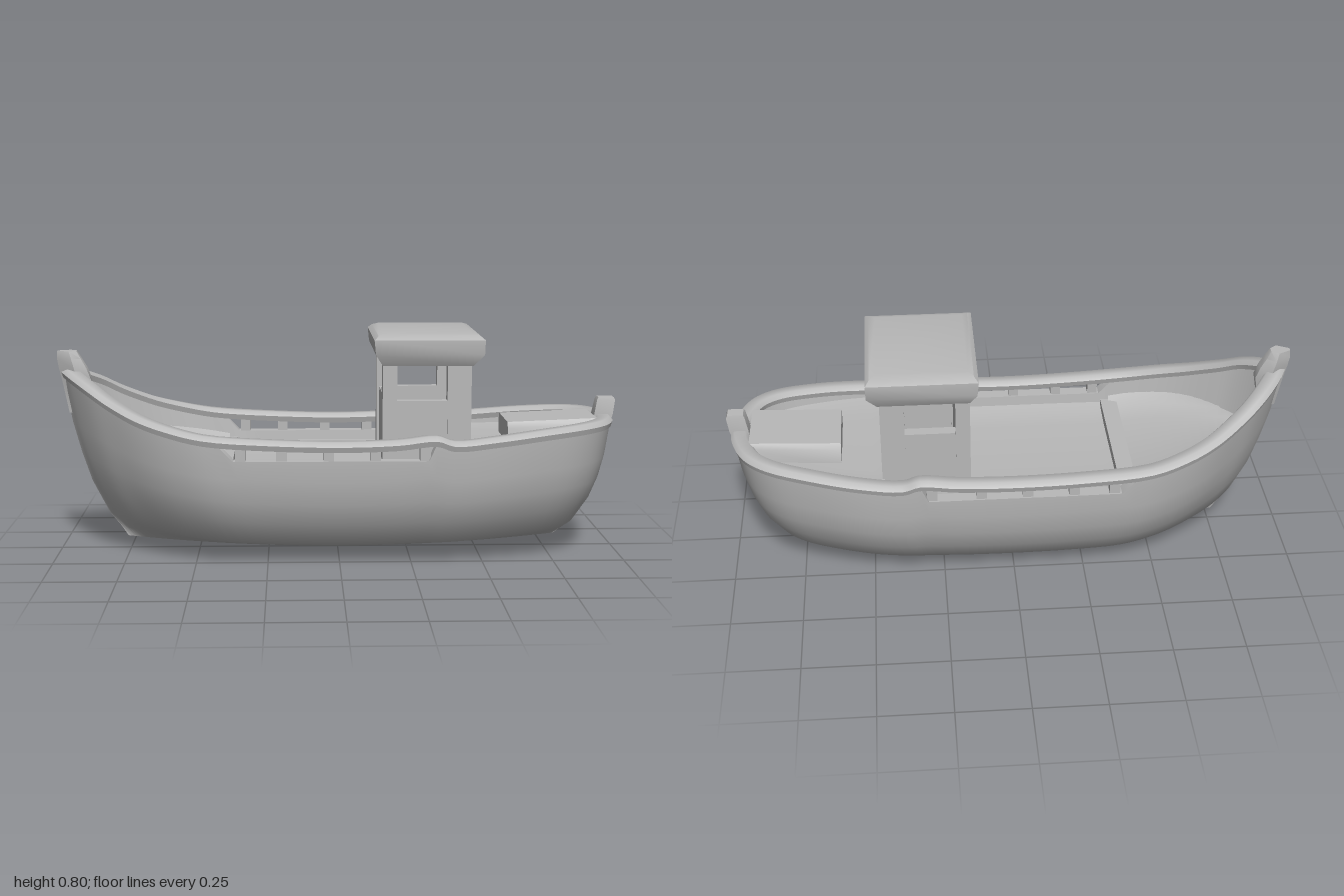
import * as THREE from 'three';
import { toCreasedNormals } from 'three/addons/utils/BufferGeometryUtils.js';

const paint = new THREE.MeshStandardMaterial({ color: 0xb8b8b8, side: THREE.DoubleSide });
paint.name = 'plain grey';

// Gunwale stations: x, sheer height, half width
const stations = [
  [-0.985, 0.665, 0], [-0.95, 0.65, 0.065], [-0.88, 0.615, 0.15], [-0.8, 0.57, 0.213], [-0.7, 0.525, 0.277],
  [-0.6, 0.495, 0.322], [-0.47, 0.468, 0.355], [-0.25, 0.452, 0.362], [0, 0.445, 0.362], [0.2, 0.451, 0.362],
  [0.33, 0.464, 0.362], [0.39, 0.446, 0.36], [0.54, 0.458, 0.35], [0.7, 0.474, 0.315], [0.85, 0.486, 0.26],
  [0.93, 0.49, 0.19], [0.975, 0.49, 0.08], [0.985, 0.49, 0],
];
const half = new THREE.CatmullRomCurve3(stations.map(s => new THREE.Vector3(...s))).getPoints(68);
// Closed loop around the boat: left side bow to stern, then back along the right side
const loop = [...half, ...half.slice(1, -1).reverse().map(p => new THREE.Vector3(p.x, p.y, -p.z))];
const N = loop.length;

// Half width of the gunwale at x
function widthAt(x) {
  for (let i = 1; i < half.length; i++) {
    const a = half[i - 1], b = half[i];
    if (x <= b.x) return THREE.MathUtils.lerp(a.z, b.z, Math.max(0, (x - a.x) / (b.x - a.x)));
  }
  return 0;
}

// Surface through rings of equal point count; rings close on themselves
function loft(rings, closeAcross = false, crease = 0.7) {
  const m = rings[0].length, index = [];
  const rows = closeAcross ? rings.length : rings.length - 1;
  for (let r = 0; r < rows; r++) {
    const s = (r + 1) % rings.length;
    for (let i = 0; i < m; i++) {
      const j = (i + 1) % m;
      index.push(r * m + i, s * m + i, r * m + j, r * m + j, s * m + i, s * m + j);
    }
  }
  const g = new THREE.BufferGeometry();
  g.setAttribute('position', new THREE.Float32BufferAttribute(rings.flat(2), 3));
  g.setIndex(index);
  return toCreasedNormals(g, crease);
}

// Moves a plan outline inwards without crossing the centreline
function inset(ring, d) {
  return ring.map(([x, y, z], i) => {
    const a = ring[(i + N - 1) % N], b = ring[(i + 1) % N];
    const dx = b[0] - a[0], dz = b[2] - a[2], l = Math.hypot(dx, dz) || 1;
    const side = Math.sign(z);
    const nz = z + d * -dx / l;
    return [x + d * dz / l, y, side * Math.max(0, nz * side)];
  });
}

// Hull outline at one level: height fraction, half-width scale, bow x, stern x
function outline([v, w, bow, stern]) {
  return loop.map(p => {
    const u = (p.x + 0.985) / 1.97;
    const keel = 0.003 + 0.045 * p.x * p.x;
    const z = Math.sign(p.z) * w * Math.pow(Math.abs(p.z) / 0.362, 1 + 0.2 * (1 - v));
    return [bow + (stern - bow) * u, keel + (p.y - keel) * v, z];
  });
}

// Closed solid from stacked rings, with both ends capped
function solid(rings) {
  const cap = ring => {
    const c = [0, 1, 2].map(k => ring.reduce((sum, p) => sum + p[k], 0) / ring.length);
    return ring.map(() => c);
  };
  return loft([cap(rings[0]), ...rings, cap(rings[rings.length - 1])], false, 0.75);
}

// Box-like part from rectangles: y, x0, x1, half depth
const stack = rects => solid(rects.map(([y, a, b, d]) => [[a, y, d], [b, y, d], [b, y, -d], [a, y, -d]]));

export function createModel() {
  const boat = new THREE.Group();
  boat.name = 'boat';
  const add = (name, geometry, parent = boat) => {
    const mesh = new THREE.Mesh(geometry, paint);
    mesh.name = name;
    parent.add(mesh);
    return mesh;
  };
  const box = (name, x0, x1, y0, y1, z0, z1, parent) => {
    const mesh = add(name, new THREE.BoxGeometry(x1 - x0, y1 - y0, z1 - z0), parent);
    mesh.position.set((x0 + x1) / 2, (y0 + y1) / 2, (z0 + z1) / 2);
  };

  // Hull shell with an inner wall; its edge dips amidships below the open rail
  const levels = [
    [0, 0, -0.76, 0.79], [0.06, 0.1, -0.785, 0.825], [0.14, 0.25, -0.825, 0.86],
    [0.33, 0.312, -0.885, 0.915], [0.5, 0.34, -0.92, 0.945], [0.68, 0.356, -0.95, 0.965],
  ].map(outline);
  const edge = loop.map(p => [p.x, p.x > -0.37 && p.x < 0.31 ? 0.38 : p.y - 0.025, p.z]);
  const innerFoot = inset(levels[4], 0.045).map(([x, y, z]) => [x, Math.min(y, 0.31), z]);
  add('hull', loft([...levels, inset(edge, 0.003), inset(edge, 0.05), innerFoot], false, 0.8));

  // Rounded cap rail swept around the gunwale
  const gunwale = loop.map(p => [p.x, p.y, p.z]);
  const section = [[0, -0.035], [-0.006, -0.016], [0.008, 0], [0.045, 0], [0.058, -0.015], [0.052, -0.035]];
  add('capRail', loft(section.map(([d, dy]) => inset(gunwale, d).map(([x, y, z]) => [x, y + dy, z])), true, 0.9));

  // Short stanchions in the rail openings
  for (const side of [1, -1]) {
    for (const x of [-0.34, -0.2, -0.04, 0.12, 0.29]) {
      const z = side * (widthAt(x) - 0.027);
      box('railStanchion', x - 0.018, x + 0.018, 0.36, 0.43, z - 0.018, z + 0.018);
    }
  }

  // Decks that follow the inside of the hull, with edges turned up by a given lip
  const deck = (name, x0, x1, y0, y1, lip) => {
    const rings = [];
    for (let i = 0; i <= 14; i++) {
      const t = i / 14, x = x0 + (x1 - x0) * t, y = y0 + (y1 - y0) * t;
      const w = Math.max(0.01, widthAt(x * 1.05) - 0.05);
      const top = [[-1, lip], [-0.85, lip * 0.35], [-0.6, 0], [0.6, 0], [0.85, lip * 0.35], [1, lip]]
        .map(([k, h]) => [x, y + h, w * k]);
      rings.push([...top, [x, y - 0.02, w], [x, y - 0.02, -w]]);
    }
    add(name, loft(rings));
  };
  deck('foreDeck', -0.88, -0.4, 0.41, 0.325, 0.05);
  deck('wellDeck', -0.4, 0.47, 0.325, 0.325, 0.02);
  deck('aftDeck', 0.46, 0.91, 0.395, 0.42, 0.01);
  box('thwart', -0.43, -0.37, 0.3, 0.36, -0.3, 0.3);
  box('aftBulkhead', 0.45, 0.47, 0.31, 0.393, -0.29, 0.29);

  // Low aft hatch with a sloping lid that runs to the stern rail
  add('aftHatch', solid([[0.39, 0.39, 0.13], [0.455, 0.47, 0.125], [0.475, 0.488, 0.112]].map(([ya, yb, d]) =>
    [[0.6, ya, d], [0.92, yb, d], [0.92, yb, -d], [0.6, ya, -d]])));

  // Diamond-section stem post: y, front x, middle x, back x, half width
  add('stemPost', solid([
    [0.5, -0.96, -0.93, -0.9, 0.015], [0.62, -0.984, -0.93, -0.88, 0.045], [0.66, -0.994, -0.935, -0.895, 0.046],
    [0.695, -1, -0.945, -0.915, 0.044], [0.722, -0.998, -0.955, -0.93, 0.03],
  ].map(([y, a, m, b, d]) => [[a, y, 0.008], [m, y, d], [b, y, d * 0.4], [b, y, -d * 0.4], [m, y, -d], [a, y, -0.008]])));
  add('sternPost', stack([[0.42, 0.92, 0.972, 0.028], [0.49, 0.925, 0.992, 0.03], [0.54, 0.935, 1, 0.024], [0.55, 0.94, 0.995, 0.022]]));

  // Wheelhouse: low walls, corner posts, raised forward sill and flared roof
  const house = new THREE.Group();
  house.name = 'wheelhouse';
  boat.add(house);
  for (const side of [1, -1]) {
    const span = (a, b) => side > 0 ? [a, b] : [-b, -a];
    box('sideWall', 0.16, 0.45, 0.31, 0.567, ...span(0.18, 0.22), house);
    box('forwardPost', 0.15, 0.2, 0.31, 0.72, ...span(0.175, 0.226), house);
    box('aftPost', 0.375, 0.458, 0.31, 0.72, ...span(0.175, 0.226), house);
  }
  box('forwardWall', 0.16, 0.195, 0.31, 0.567, -0.2, 0.2, house);
  box('aftWall', 0.415, 0.452, 0.31, 0.567, -0.2, 0.2, house);
  add('forwardSill', stack([[0.55, 0.162, 0.193, 0.06], [0.575, 0.162, 0.193, 0.06], [0.6, 0.165, 0.19, 0.05]]), house);
  add('roof', stack([[0.69, 0.15, 0.465, 0.228], [0.73, 0.125, 0.5, 0.25], [0.78, 0.12, 0.502, 0.25],
    [0.793, 0.135, 0.487, 0.225], [0.8, 0.155, 0.465, 0.2]]), house);

  return boat;
}
